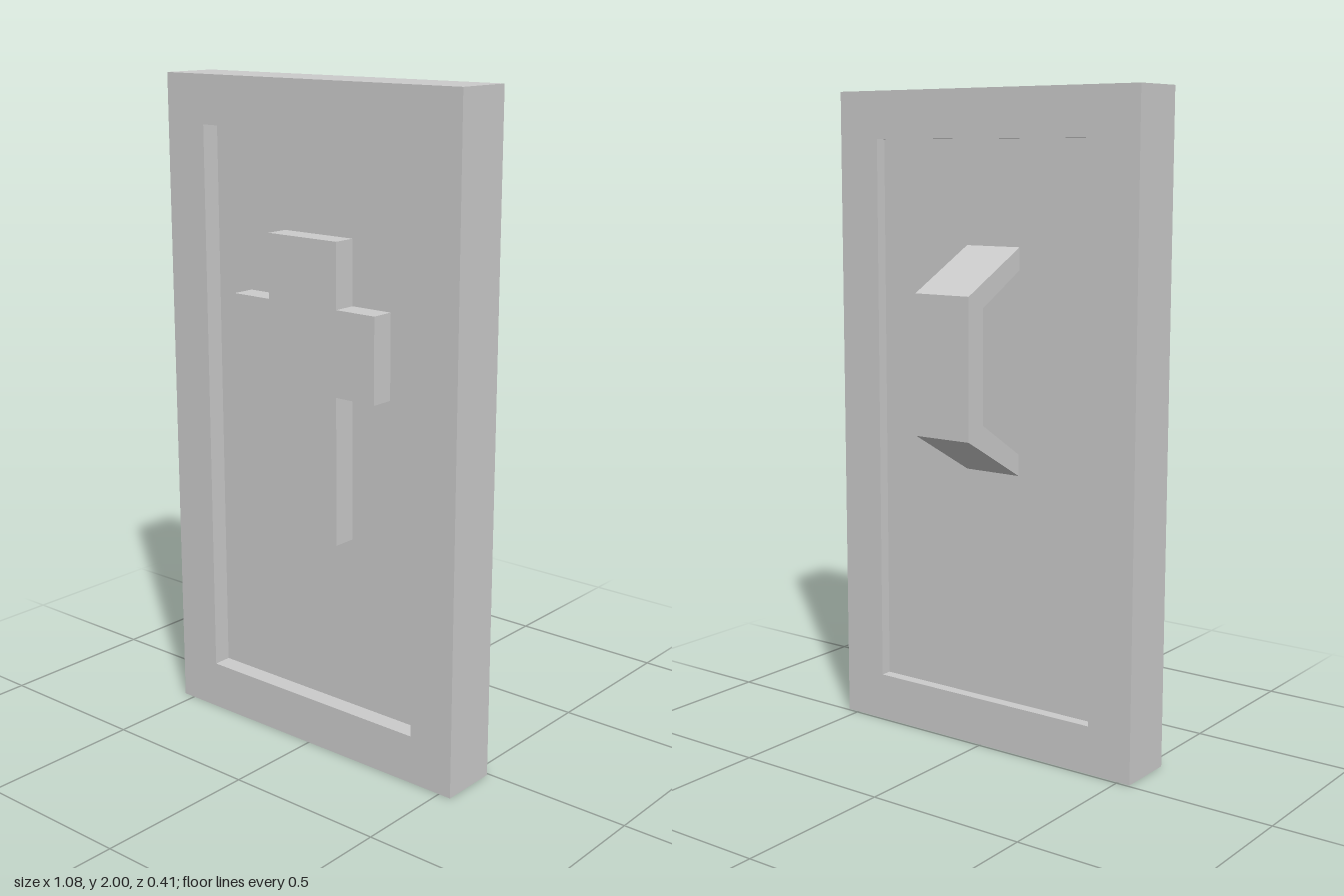
import * as THREE from 'three';

const material = new THREE.MeshStandardMaterial({ color: 0xcccccc });

const toPoints = (pairs) => pairs.map(([x, y]) => new THREE.Vector2(x, y));

const rectangle = (halfWidth, bottom, top) => toPoints([
  [-halfWidth, bottom], [halfWidth, bottom], [halfWidth, top], [-halfWidth, top],
]);

const extrude = (shape, depth) =>
  new THREE.ExtrudeGeometry(shape, { depth, bevelEnabled: false });

export function createModel() {
  const group = new THREE.Group();
  const add = (name, geometry) => {
    const mesh = new THREE.Mesh(geometry, material);
    mesh.name = name;
    group.add(mesh);
  };

  const back = 0.007, front = 0.19;           // frame faces
  const floorBack = 0.042, floorFront = 0.133; // recessed panel faces
  const halfOpening = 0.395, openBottom = 0.148, openTop = 1.855;

  // Outer frame with a rectangular opening
  const frameShape = new THREE.Shape(rectangle(0.54, 0, 2));
  frameShape.holes.push(new THREE.Path(rectangle(halfOpening, openBottom, openTop)));
  add('frame', extrude(frameShape, front - back).translate(0, 0, back));

  // Panel sunk into the frame on both sides
  const panelShape = new THREE.Shape(rectangle(halfOpening, openBottom, openTop));
  add('panel', extrude(panelShape, floorFront - floorBack).translate(0, 0, floorBack));

  // Raised cross: right half of the outline, mirrored for the left
  const half = [
    [0.127, 0.675], [0.127, 1.12], [0.265, 1.12],
    [0.265, 1.373], [0.127, 1.373], [0.127, 1.565],
  ];
  const mirrored = half.map(([x, y]) => [-x, y]).reverse();
  const crossShape = new THREE.Shape(toPoints([...half, ...mirrored]));
  add('cross', extrude(crossShape, 0.205 - floorFront).translate(0, 0, floorFront));

  // Bent grip on the back: profile in (z, y), swept across x
  const gripShape = new THREE.Shape(toPoints([
    [floorBack, 0.861], [floorBack, 0.926], [-0.137, 1.038], [-0.137, 1.377],
    [floorBack, 1.475], [floorBack, 1.542], [-0.205, 1.415], [-0.205, 0.998],
  ]));
  add('handle', extrude(gripShape, 0.192).rotateY(-Math.PI / 2).translate(0.076, 0, 0));

  return group;
}
